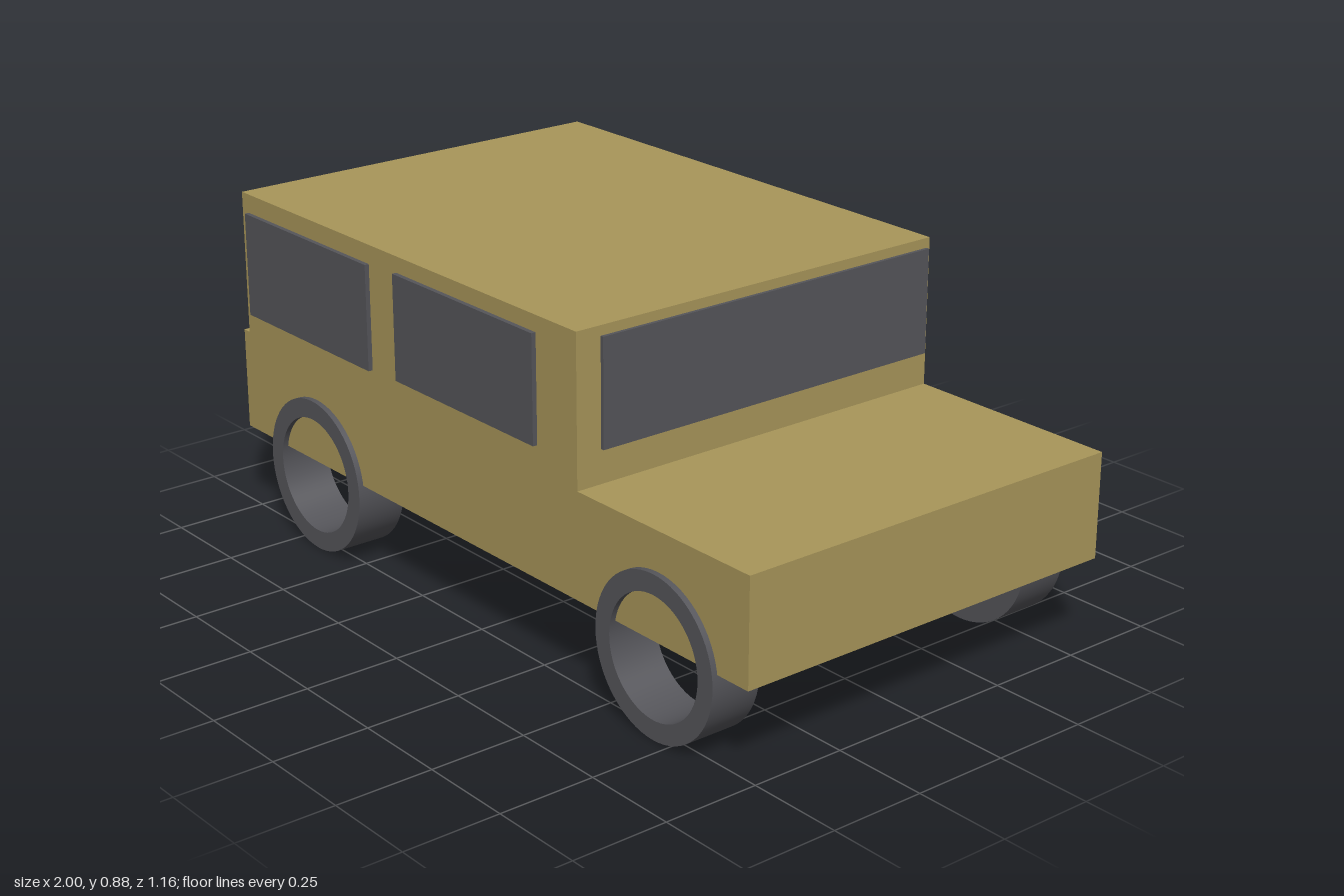
import * as THREE from 'three';
import { toCreasedNormals } from 'three/addons/utils/BufferGeometryUtils.js';

const paint = new THREE.MeshStandardMaterial({ color: 0xa8965a });
const dark = new THREE.MeshStandardMaterial({ color: 0x55555a });

// Box given by its lower and upper limits on each axis
function block(name, material, [x0, x1], [y0, y1], [z0, z1]) {
  const mesh = new THREE.Mesh(new THREE.BoxGeometry(x1 - x0, y1 - y0, z1 - z0), material);
  mesh.position.set((x0 + x1) / 2, (y0 + y1) / 2, (z0 + z1) / 2);
  mesh.name = name;
  return mesh;
}

// Open ring tyre, extruded along z
function tyreGeometry(outer, inner, width) {
  const ring = new THREE.Shape().absarc(0, 0, outer, 0, Math.PI * 2, false);
  ring.holes.push(new THREE.Path().absarc(0, 0, inner, 0, Math.PI * 2, true));
  const geometry = new THREE.ExtrudeGeometry(ring, { depth: width, bevelEnabled: false, curveSegments: 32 });
  return toCreasedNormals(geometry, 0.5);
}

export function createModel() {
  const car = new THREE.Group();
  car.name = 'car';

  // Body: long lower hull with the cabin towards the tail
  const bodyZ = [-0.565, 0.525];
  car.add(block('lowerBody', paint, [-1, 1], [0.235, 0.505], bodyZ));
  car.add(block('cabin', paint, [-0.975, 0.415], [0.505, 0.885], bodyZ));

  // Window panes; those on the +z side stand clear of the cabin
  const paneY = [0.59, 0.86];
  car.add(block('windshield', dark, [0.41, 0.424], paneY, [-0.555, 0.456]));
  car.add(block('tailWindow', dark, [-0.99, -0.974], paneY, [-0.52, 0.483]));
  [
    ['frontSideTailWindow', [-0.877, -0.336], [0.566, 0.578]],
    ['frontSideHoodWindow', [-0.24, 0.305], [0.553, 0.565]],
    ['backSideTailWindow', [-0.877, -0.336], [-0.578, -0.564]],
    ['backSideHoodWindow', [-0.214, 0.331], [-0.578, -0.564]],
  ].forEach(([name, x, z]) => car.add(block(name, dark, x, paneY, z)));

  // Wheels: x centre and inner z face of each
  const tyre = tyreGeometry(0.203, 0.153, 0.135);
  [
    ['frontSideTailWheel', -0.662, 0.405],
    ['frontSideHoodWheel', 0.699, 0.405],
    ['backSideTailWheel', -0.662, -0.578],
    ['backSideHoodWheel', 0.686, -0.578],
  ].forEach(([name, x, z]) => {
    const wheel = new THREE.Mesh(tyre, dark);
    wheel.position.set(x, 0.204, z);
    wheel.name = name;
    car.add(wheel);
  });

  return car;
}
